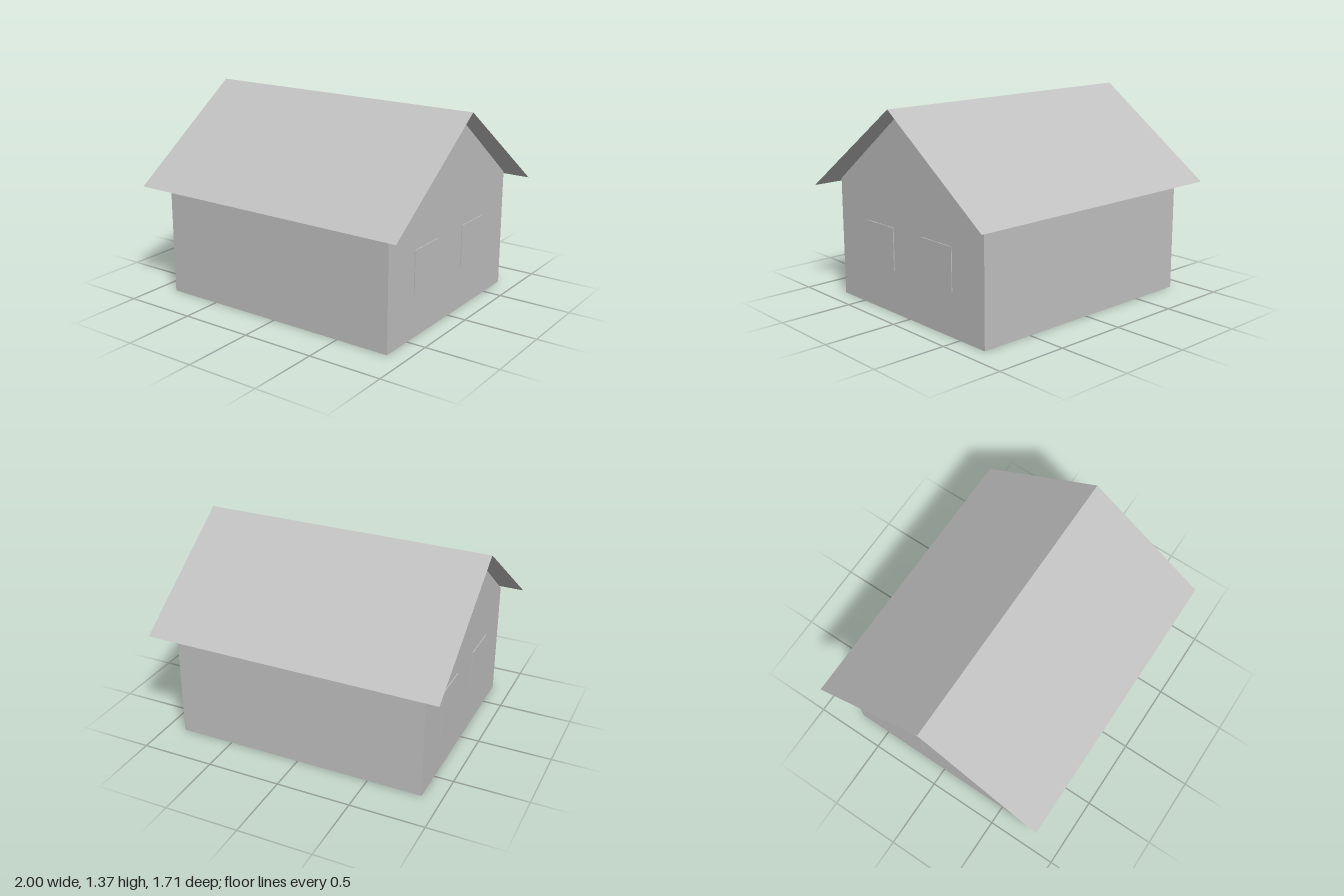
import * as THREE from 'three';

const HALF_LENGTH = 0.87, HALF_WIDTH = 0.725, WALL_TOP = 0.81, RIDGE = 1.365;
const EAVE_Z = 0.853, EAVE_Y = 0.76, ROOF_LENGTH = 2;

export function createModel() {
  const house = new THREE.Group();
  house.name = 'house';
  const grey = new THREE.MeshStandardMaterial({ color: 0xc0c0c0, side: THREE.DoubleSide });
  grey.name = 'plain grey';

  const add = (parent, name, geometry) => {
    const mesh = new THREE.Mesh(geometry, grey);
    mesh.name = name;
    parent.add(mesh);
    return mesh;
  };

  // Gable outline, shared by both ends
  const gable = new THREE.Shape([
    [-HALF_WIDTH, 0], [HALF_WIDTH, 0], [HALF_WIDTH, WALL_TOP], [0, RIDGE], [-HALF_WIDTH, WALL_TOP],
  ].map(([x, y]) => new THREE.Vector2(x, y)));

  // Gable ends, each with two thin window panels
  for (const [name, side] of [['left', 1], ['right', -1]]) {
    const end = new THREE.Group();
    end.name = `${name}End`;
    end.position.x = side * HALF_LENGTH;
    end.rotation.y = side * Math.PI / 2;
    add(end, 'gableWall', new THREE.ShapeGeometry(gable));
    for (const x of [-0.29, 0.29]) {
      add(end, 'window', new THREE.BoxGeometry(0.285, 0.285, 0.006)).position.set(x, 0.435, 0.003);
    }
    house.add(end);
  }

  // Long walls and sloping roof sheets; the underside of the house is open
  const slope = Math.hypot(EAVE_Z, RIDGE - EAVE_Y);
  const tilt = Math.atan2(EAVE_Z, RIDGE - EAVE_Y);
  for (const [name, turn] of [['front', 0], ['back', Math.PI]]) {
    const half = new THREE.Group();
    half.name = `${name}Half`;
    half.rotation.y = turn;
    add(half, 'longWall', new THREE.PlaneGeometry(2 * HALF_LENGTH, WALL_TOP))
      .position.set(0, WALL_TOP / 2, HALF_WIDTH);
    const roof = add(half, 'roofSlope', new THREE.PlaneGeometry(ROOF_LENGTH, slope));
    roof.rotation.x = -tilt;
    roof.position.set(0, (RIDGE + EAVE_Y) / 2, EAVE_Z / 2);
    house.add(half);
  }
  return house;
}
